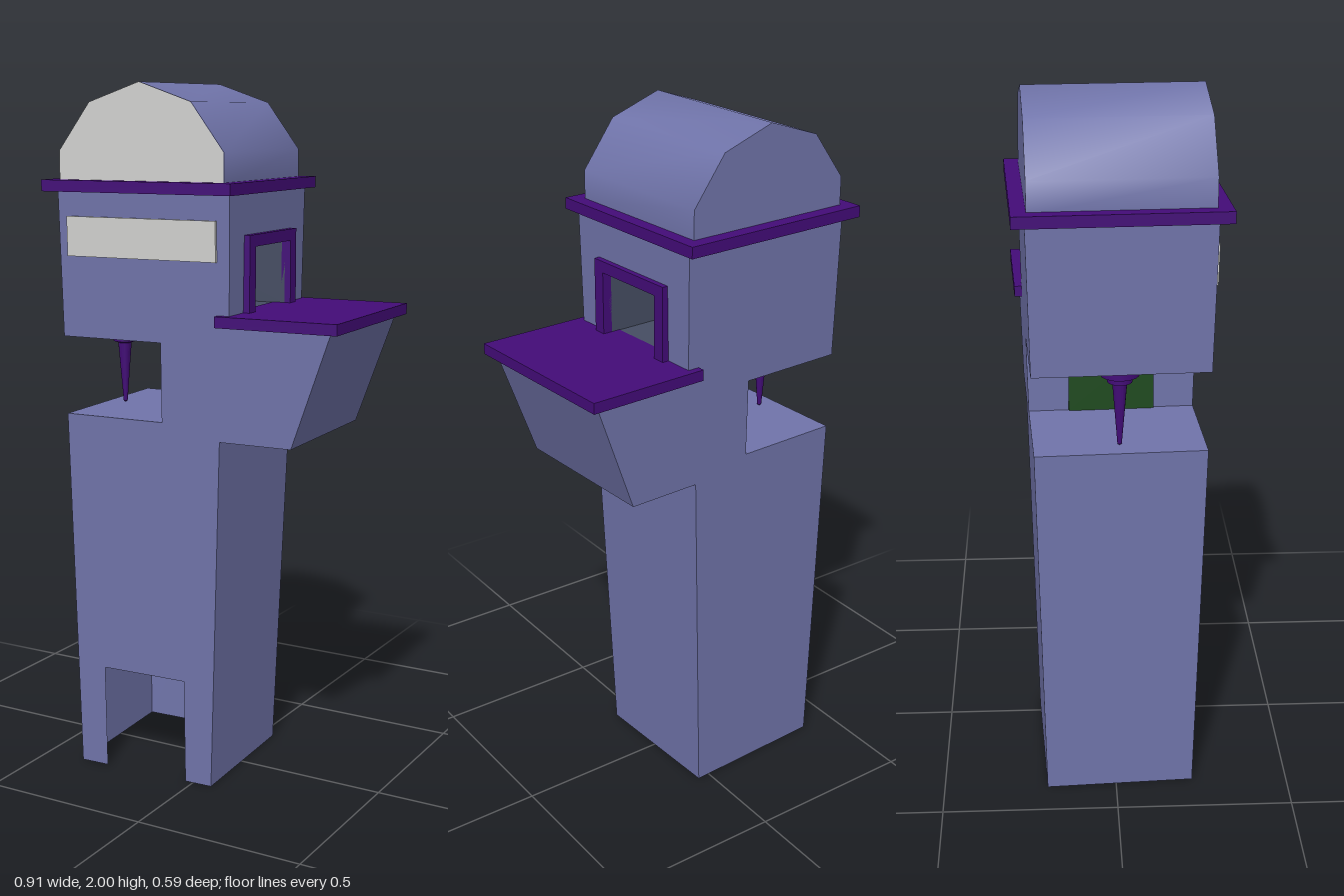
import * as THREE from 'three';
import { toCreasedNormals } from 'three/addons/utils/BufferGeometryUtils.js';

const mat = (name, color, side = THREE.FrontSide) => {
  const m = new THREE.MeshStandardMaterial({ color, side });
  m.name = name;
  return m;
};

// Half depth of the tower, widening with height
const halfDepth = (y) => 0.212 + 0.0195 * y;

const shapeOf = (pts) => new THREE.Shape(pts.map(([x, y]) => new THREE.Vector2(x, y)));

// Move every vertex by a rule
function warp(geo, rule) {
  const p = geo.attributes.position;
  const v = new THREE.Vector3();
  for (let i = 0; i < p.count; i++) {
    v.fromBufferAttribute(p, i);
    rule(v);
    p.setXYZ(i, v.x, v.y, v.z);
  }
  geo.computeVertexNormals();
  return geo;
}

export function createModel() {
  const wall = mat('blue wall', 0x7074aa, THREE.DoubleSide);
  const trim = mat('purple trim', 0x430c78);
  const pale = mat('pale glass', 0xd2d2d0);
  const green = mat('dark green', 0x1f4a1f);
  const dark = mat('dark interior', 0x454d62, THREE.BackSide);

  const model = new THREE.Group();
  model.name = 'watchtower';
  const tower = new THREE.Group();
  tower.name = 'tower';
  tower.position.x = -0.149;
  tower.rotation.y = 0.049;
  model.add(tower);

  const add = (name, geo, material) => {
    const m = new THREE.Mesh(geo, material);
    m.name = name;
    tower.add(m);
    return m;
  };
  // Box given by its low and high corners
  const box = (name, a, b, material) => {
    const g = new THREE.BoxGeometry(b[0] - a[0], b[1] - a[1], b[2] - a[2]);
    g.translate((a[0] + b[0]) / 2, (a[1] + b[1]) / 2, (a[2] + b[2]) / 2);
    return add(name, g, material);
  };

  // Outline of the hollow body: shaft, balcony, cabin and side notch
  const outline = [
    [-0.237, 0], [0.198, 0], [0.237, 1.03], [0.452, 1.03], [0.567, 1.35], [0.27, 1.35],
    [0.275, 1.705], [-0.262, 1.705], [-0.256, 1.295], [0.057, 1.295], [0.057, 1.07], [-0.2525, 1.07],
  ];
  const door = [[-0.15, 0], [-0.15, 0.31], [0.114, 0.31], [0.114, 0]];

  const frontPts = [outline[0], ...door, ...outline.slice(1)];
  add('frontWall', warp(new THREE.ShapeGeometry(shapeOf(frontPts)), (v) => { v.z = halfDepth(v.y); }), wall);
  add('backWall', warp(new THREE.ShapeGeometry(shapeOf(outline)), (v) => { v.z = -halfDepth(v.y); }), wall);

  // Side walls along the outline; the bottom stays open, the cabin doorway is separate
  const quads = [];
  outline.forEach(([x0, y0], i) => {
    if (i === 0 || i === 5) return;
    const [x1, y1] = outline[(i + 1) % outline.length];
    const a = [x0, y0, halfDepth(y0)], b = [x0, y0, -halfDepth(y0)];
    const c = [x1, y1, -halfDepth(y1)], d = [x1, y1, halfDepth(y1)];
    quads.push(...a, ...b, ...c, ...a, ...c, ...d);
  });
  const sides = new THREE.BufferGeometry();
  sides.setAttribute('position', new THREE.Float32BufferAttribute(quads, 3));
  sides.computeVertexNormals();
  add('sideWalls', sides, wall);

  // Cabin wall with a doorway onto the balcony
  const lo = halfDepth(1.35), hi = halfDepth(1.705);
  const doorWall = shapeOf([[-lo, 1.35], [lo, 1.35], [hi, 1.705], [-hi, 1.705]]);
  doorWall.holes.push(new THREE.Path([[-0.115, 1.38], [-0.115, 1.56], [0.115, 1.56], [0.115, 1.38]]
    .map(([x, y]) => new THREE.Vector2(x, y))));
  add('balconyDoorWall', warp(new THREE.ShapeGeometry(doorWall), (v) => {
    v.set(0.27 + (v.y - 1.35) * 0.014, v.y, -v.x);
  }), wall);

  // Room behind the doorway, without its open face
  const room = new THREE.BoxGeometry(0.47, 0.18, 0.23);
  room.setIndex(Array.from(room.index.array).slice(6));
  room.clearGroups();
  room.translate(0.037, 1.47, 0);
  add('cabinRoom', room, dark);

  // Doorway frame
  for (const s of [-1, 1]) {
    const z = [s * 0.115, s * 0.153].sort((p, q) => p - q);
    box('doorFramePost', [0.262, 1.38, z[0]], [0.29, 1.56, z[1]], trim);
  }
  box('doorFrameLintel', [0.262, 1.56, -0.153], [0.29, 1.593, 0.153], trim);

  // Balcony floor and roof rim
  box('balconyFloor', [0.236, 1.35, -0.26], [0.593, 1.381, 0.26], trim);
  box('roofRim', [-0.294, 1.704, -0.28], [0.294, 1.736, 0.28], trim);

  // Front window strip, leaning with the wall
  const strip = new THREE.BoxGeometry(0.466, 0.111, 0.009);
  strip.translate(0.002, 1.58, 0.004);
  add('frontWindow', warp(strip, (v) => { v.z += halfDepth(v.y); }), pale);

  // Barrel roof with a pale front gable
  const arch = shapeOf([
    [-0.256, 1.73], [0.256, 1.73], [0.256, 1.815], [0.157, 1.947],
    [0, 2], [-0.157, 1.947], [-0.256, 1.815],
  ]);
  const barrel = new THREE.ExtrudeGeometry(arch, { depth: 0.48, bevelEnabled: false });
  barrel.translate(0, 0, -0.24);
  add('barrelRoof', toCreasedNormals(barrel, 0.9), wall);
  const gable = new THREE.ShapeGeometry(arch);
  gable.translate(0, 0, 0.243);
  add('frontGable', gable, pale);

  // Spike hanging in the notch
  const spike = new THREE.LatheGeometry([
    [0, 1.07], [0.006, 1.075], [0.02, 1.25], [0.034, 1.255], [0.034, 1.275],
    [0.053, 1.275], [0.053, 1.296],
  ].map(([x, y]) => new THREE.Vector2(x, y)), 16);
  add('hangingSpike', toCreasedNormals(spike, 0.7), trim).position.x = -0.196;

  // Door panel on the inner wall of the notch
  box('notchDoor', [0.05, 1.07, -0.12], [0.058, 1.27, 0.12], green);

  return model;
}
